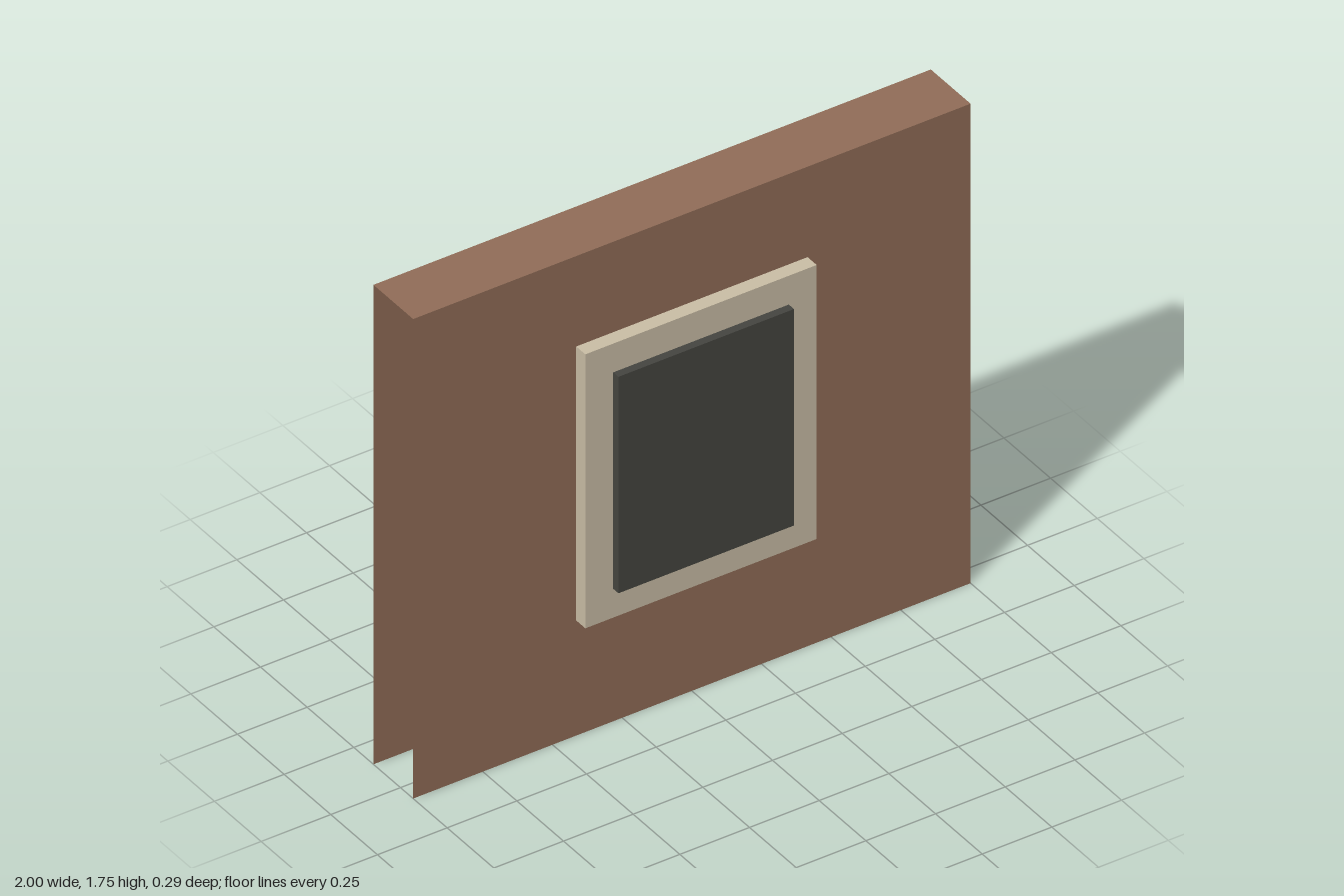
import * as THREE from 'three';

export function createModel() {
  const model = new THREE.Group();
  const brick = new THREE.MeshStandardMaterial({ name: 'brick brown', color: 0x916d58, side: THREE.DoubleSide });
  const stone = new THREE.MeshStandardMaterial({ name: 'pale stone', color: 0xcabea6 });
  const glass = new THREE.MeshStandardMaterial({ name: 'dark glass', color: 0x454540 });

  const WIDTH = 2, HEIGHT = 1.75, BACK = -0.145, FRONT = 0.068;
  const CENTRE_Y = 0.92; // height of the window's middle

  // Wall: open shell of front, back and top sheets
  const wall = new THREE.Group();
  wall.name = 'wall';
  const addSheet = (name, height, y, z, rotX, rotY) => {
    const sheet = new THREE.Mesh(new THREE.PlaneGeometry(WIDTH, height), brick);
    sheet.name = name;
    sheet.position.set(0, y, z);
    sheet.rotation.set(rotX, rotY, 0);
    wall.add(sheet);
  };
  addSheet('wallFront', HEIGHT, HEIGHT / 2, FRONT, 0, 0);
  addSheet('wallBack', HEIGHT, HEIGHT / 2, BACK, 0, Math.PI);
  addSheet('wallTop', FRONT - BACK, HEIGHT, (FRONT + BACK) / 2, -Math.PI / 2, 0);
  model.add(wall);

  // Window: stone surround with a raised dark pane
  const addSlab = (name, width, height, z0, z1, material) => {
    const slab = new THREE.Mesh(new THREE.BoxGeometry(width, height, z1 - z0), material);
    slab.name = name;
    slab.position.set(0, CENTRE_Y, (z0 + z1) / 2);
    model.add(slab);
  };
  addSlab('windowSurround', 0.83, 1.0, FRONT, 0.117, stone);
  addSlab('windowPane', 0.63, 0.79, 0.117, 0.145, glass);

  return model;
}
